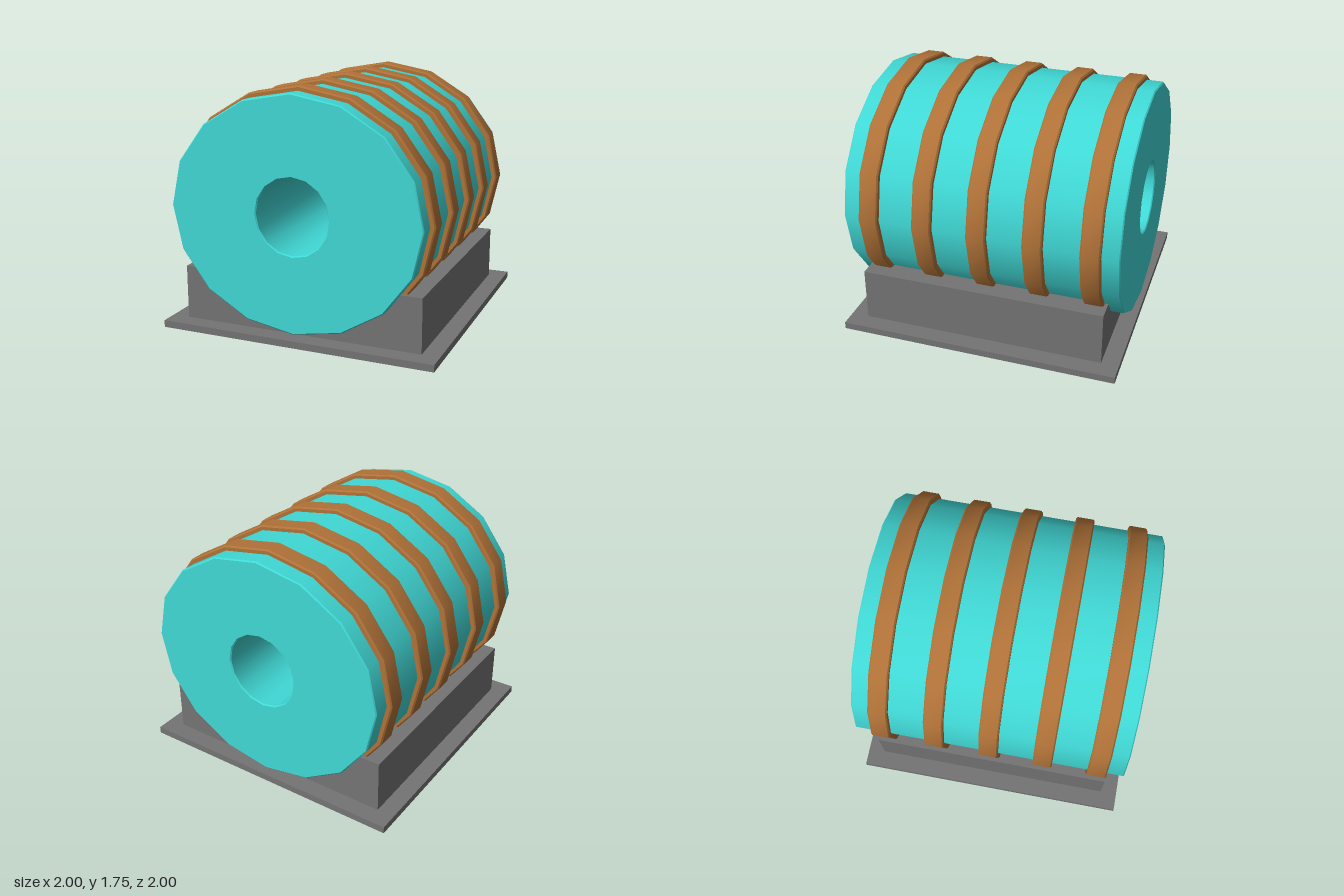
import * as THREE from 'three';
import { toCreasedNormals } from 'three/addons/utils/BufferGeometryUtils.js';

const AXIS_Y = 0.9;

// Sixteen-sided ellipse outline
function ellipsePoints(rx, ry) {
  const points = [];
  for (let i = 0; i < 16; i++) {
    const a = (i * Math.PI) / 8;
    points.push(new THREE.Vector2(rx * Math.cos(a), ry * Math.sin(a)));
  }
  return points;
}

// Hollow cylinder along z with small chamfers, centred on its length
function sleeve(outer, inner, length, bevel) {
  const shape = new THREE.Shape(ellipsePoints(...outer));
  shape.holes.push(new THREE.Path(ellipsePoints(...inner)));
  const geometry = new THREE.ExtrudeGeometry(shape, {
    depth: length - 2 * bevel,
    bevelEnabled: true,
    bevelThickness: bevel,
    bevelSize: bevel,
    bevelOffset: -bevel,
    bevelSegments: 1,
  });
  geometry.translate(0, 0, bevel - length / 2);
  return toCreasedNormals(geometry, 0.6);
}

export function createModel() {
  const model = new THREE.Group();
  model.name = 'bandedDrumOnCradle';

  const turquoise = new THREE.MeshStandardMaterial({ color: 0x40d9d6 });
  turquoise.name = 'turquoise';
  const copper = new THREE.MeshStandardMaterial({ color: 0xb07238 });
  copper.name = 'copper';
  const grey = new THREE.MeshStandardMaterial({ color: 0x747474 });
  grey.name = 'grey';

  const add = (name, geometry, material, y, z = 0) => {
    const mesh = new THREE.Mesh(geometry, material);
    mesh.name = name;
    mesh.position.set(0, y, z);
    model.add(mesh);
  };

  // Base plate and the block that cradles the drum
  add('basePlate', new THREE.BoxGeometry(2, 0.05, 2), grey, 0.025);
  add('cradle', new THREE.BoxGeometry(1.75, 0.385, 1.75), grey, 0.2425);

  // Drum with a bore through its middle
  add('drum', sleeve([0.908, 0.816], [0.265, 0.265], 1.945, 0.008), turquoise, AXIS_Y);

  // Five bands around the drum
  const band = sleeve([0.945, 0.85], [0.88, 0.79], 0.138, 0.01);
  for (let i = -2; i <= 2; i++) {
    add('band', band, copper, AXIS_Y, i * 0.39);
  }

  return model;
}
